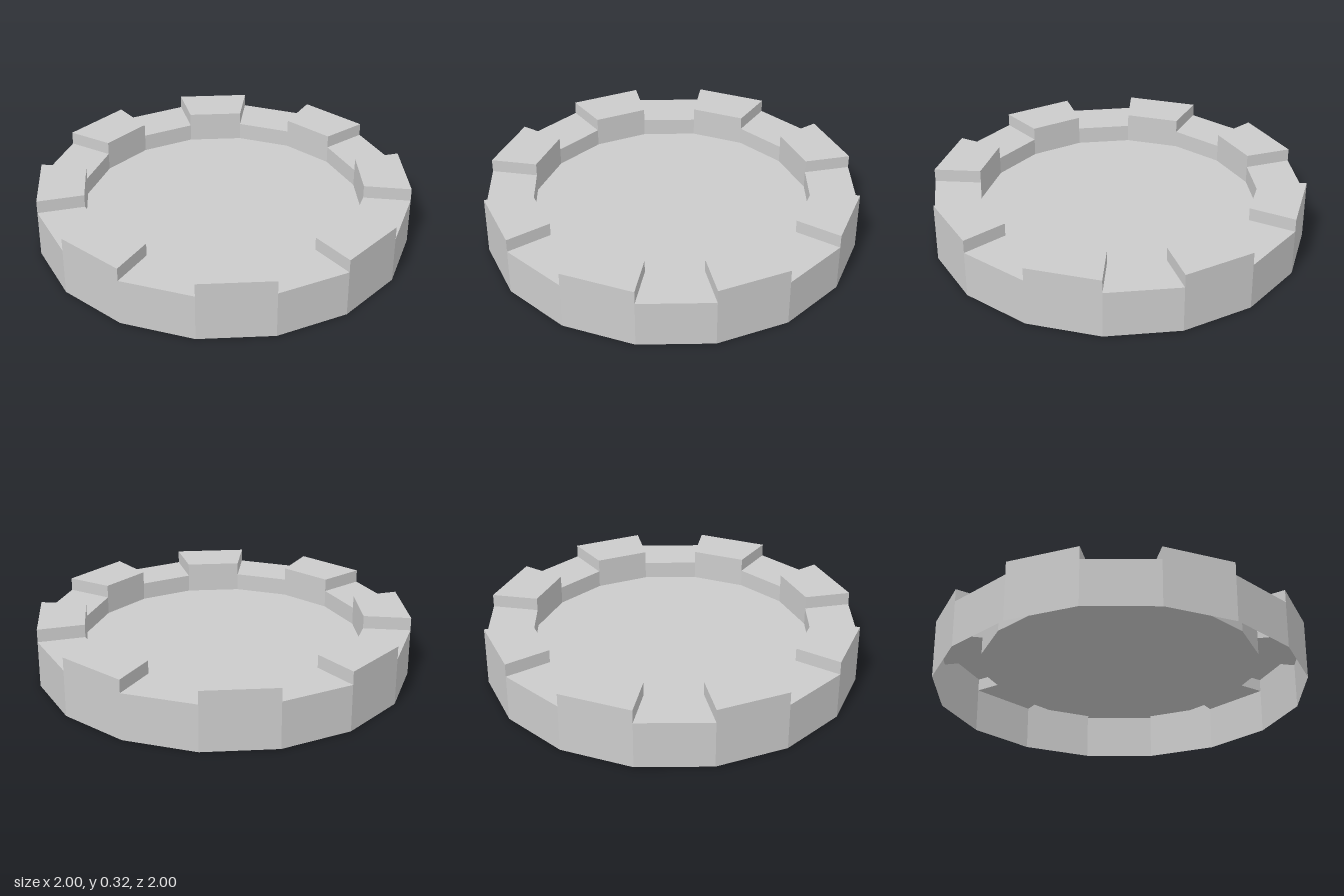
import * as THREE from 'three';

const SIDES = 16, OUTER = 1, INNER = 0.75;
const LOW = 0.25, HIGH = 0.32, FLOOR = 0.155;

const material = new THREE.MeshStandardMaterial({
  color: 0xcccccc, flatShading: true, side: THREE.DoubleSide,
});

// Point on the ring at corner k, measured from the front towards +x
function corner(k, radius, y) {
  const a = (k / SIDES) * Math.PI * 2;
  return [radius * Math.sin(a), y, radius * Math.cos(a)];
}

// One mesh from quads whose corners run counter-clockwise seen from outside
function quadMesh(name, quads) {
  const positions = [];
  for (const [a, b, c, d] of quads) positions.push(...a, ...b, ...c, ...a, ...c, ...d);
  const geometry = new THREE.BufferGeometry();
  geometry.setAttribute('position', new THREE.Float32BufferAttribute(positions, 3));
  geometry.computeVertexNormals();
  const mesh = new THREE.Mesh(geometry, material);
  mesh.name = name;
  return mesh;
}

// Hollow shell of one rim sector: outer wall, top and inner wall
function rimSector(k) {
  const raised = k % 2 === 0;
  const top = raised ? HIGH : LOW;
  const strip = [[OUTER, 0], [OUTER, top], [INNER, top], [INNER, FLOOR]];
  const quads = [];
  for (let i = 0; i < strip.length - 1; i++) {
    const p = strip[i], q = strip[i + 1];
    quads.push([corner(k, ...p), corner(k + 1, ...p), corner(k + 1, ...q), corner(k, ...q)]);
  }
  // Step faces at both ends of a raised sector
  if (raised) {
    for (const [end, a, b] of [[k, INNER, OUTER], [k + 1, OUTER, INNER]]) {
      quads.push([corner(end, a, LOW), corner(end, b, LOW), corner(end, b, HIGH), corner(end, a, HIGH)]);
    }
  }
  return quadMesh(raised ? 'raisedRim' : 'lowRim', quads);
}

export function createModel() {
  const model = new THREE.Group();
  model.name = 'towerTop';

  // Alternating raised and low rim sectors
  const rim = new THREE.Group();
  rim.name = 'battlementRim';
  for (let k = 0; k < SIDES; k++) rim.add(rimSector(k));
  model.add(rim);

  // Thin floor recessed inside the rim, open underneath
  const floor = new THREE.Mesh(new THREE.CircleGeometry(INNER, SIDES).rotateX(-Math.PI / 2), material);
  floor.name = 'floor';
  floor.position.y = FLOOR;
  model.add(floor);

  return model;
}
